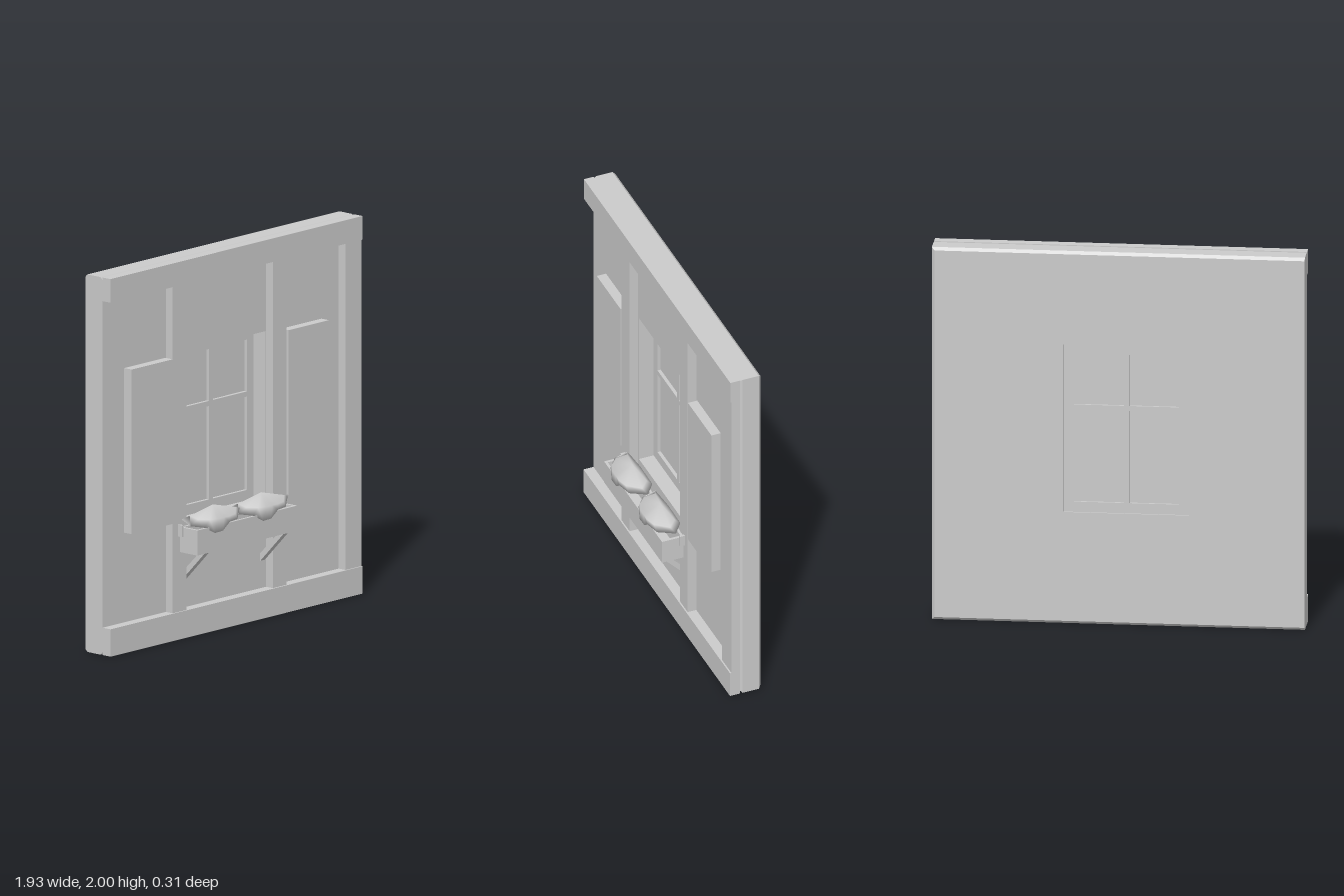
import * as THREE from 'three';

const LEFT = -0.97, RIGHT = 0.965;
const WALL_FRONT = -0.034, WALL_BACK = -0.155;
const WINDOW = { x0: -0.37, x1: 0.28, y0: 0.6, y1: 1.5 };

const grey = new THREE.MeshStandardMaterial({ color: 0xcccccc });
const greyDouble = new THREE.MeshStandardMaterial({ color: 0xcccccc, side: THREE.DoubleSide });

function rect(Type, x0, x1, y0, y1) {
  return new Type([[x0, y0], [x1, y0], [x1, y1], [x0, y1]].map(([x, y]) => new THREE.Vector2(x, y)));
}

export function createModel() {
  const model = new THREE.Group();
  model.name = 'windowWall';

  const add = (name, geometry, parent = model, material = grey) => {
    const mesh = new THREE.Mesh(geometry, material);
    mesh.name = name;
    parent.add(mesh);
    return mesh;
  };
  // Box given by its limits on each axis
  const block = (name, x0, x1, y0, y1, z0, z1, parent) => {
    const g = new THREE.BoxGeometry(x1 - x0, y1 - y0, z1 - z0);
    g.translate((x0 + x1) / 2, (y0 + y1) / 2, (z0 + z1) / 2);
    return add(name, g, parent);
  };

  // Wall slab: chamfered at the top, bottom and right, square at the left end and window
  const bevel = 0.015;
  const wallShape = rect(THREE.Shape, LEFT, RIGHT, 0, 2);
  wallShape.holes.push(rect(THREE.Path, WINDOW.x0, WINDOW.x1, WINDOW.y0, WINDOW.y1));
  const wall = new THREE.ExtrudeGeometry(wallShape, {
    depth: WALL_FRONT - WALL_BACK - 2 * bevel,
    bevelThickness: bevel, bevelSize: bevel, bevelOffset: -bevel, bevelSegments: 1,
  });
  wall.translate(0, 0, WALL_BACK + bevel);
  const p = wall.attributes.position;
  const snap = (v, targets) => targets.find((t) => Math.abs(v - t) < 0.03) ?? v;
  for (let i = 0; i < p.count; i++) {
    p.setX(i, snap(p.getX(i), [LEFT, WINDOW.x0, WINDOW.x1]));
    p.setY(i, snap(p.getY(i), [WINDOW.y0, WINDOW.y1]));
  }
  wall.computeVertexNormals();
  add('wall', wall);

  // Timber beams and posts
  const timber = new THREE.Group();
  timber.name = 'timberFrame';
  model.add(timber);
  block('topBeam', LEFT, RIGHT, 1.875, 2, WALL_FRONT, 0.02, timber);
  block('bottomBeam', LEFT, RIGHT, 0, 0.145, WALL_FRONT, 0.022, timber);
  for (const [x0, x1] of [[-0.485, -0.38], [0.285, 0.387], [0.842, RIGHT]]) {
    block('post', x0, x1, 0.145, 1.875, WALL_FRONT, 0.014, timber);
  }

  // Shutters
  block('rightShutter', -0.805, -0.49, 0.62, 1.492, WALL_FRONT, 0.018);
  block('leftShutter', 0.4, 0.71, 0.62, 1.492, WALL_FRONT, 0.018);

  // Window frame with four panes, set deep in the opening
  const frameShape = rect(THREE.Shape, WINDOW.x0, WINDOW.x1, WINDOW.y0, WINDOW.y1);
  for (const [x0, x1] of [[-0.318, -0.062], [-0.032, 0.228]]) {
    for (const [y0, y1] of [[0.655, 1.15], [1.177, 1.452]]) {
      frameShape.holes.push(rect(THREE.Path, x0, x1, y0, y1));
    }
  }
  const frame = new THREE.ExtrudeGeometry(frameShape, { depth: 0.03, bevelEnabled: false });
  frame.translate(0, 0, -0.146);
  add('windowFrame', frame);
  const glass = new THREE.PlaneGeometry(0.6, 0.85);
  glass.translate(-0.045, 1.05, -0.134);
  add('glass', glass, model, greyDouble);

  // Flower box: floor, four sides, end cleats and diagonal brackets
  const flowerBox = new THREE.Group();
  flowerBox.name = 'flowerBox';
  model.add(flowerBox);
  block('boxFloor', -0.42, 0.325, 0.46, 0.48, 0.012, 0.13, flowerBox);
  block('boxFront', -0.42, 0.325, 0.46, 0.593, 0.122, 0.136, flowerBox);
  block('boxBack', -0.42, 0.325, 0.46, 0.593, 0.012, 0.026, flowerBox);
  for (const x of [-0.43, 0.32]) block('boxEnd', x, x + 0.015, 0.46, 0.593, 0.012, 0.136, flowerBox);
  for (const x of [-0.444, 0.335]) block('boxCleat', x, x + 0.014, 0.545, 0.607, 0.012, 0.04, flowerBox);
  const brace = new THREE.Shape(
    [[0.13, 0.46], [0.095, 0.46], [-0.034, 0.331], [-0.034, 0.29]].map(([z, y]) => new THREE.Vector2(-z, y)),
  );
  for (const x of [-0.367, 0.24]) {
    const g = new THREE.ExtrudeGeometry(brace, { depth: 0.035, bevelEnabled: false });
    g.rotateY(Math.PI / 2); // shape x becomes -z, depth becomes +x
    g.translate(x, 0, 0);
    add('bracket', g, flowerBox);
  }

  // Foliage: a low smooth mound whose rim droops over the front of the box
  const rim = [
    [-0.19, 0.63, 0.012], [-0.195, 0.605, 0.08], [-0.14, 0.595, 0.128], [-0.08, 0.56, 0.146],
    [-0.02, 0.562, 0.146], [0.03, 0.6, 0.148], [0.11, 0.6, 0.13], [0.2, 0.632, 0.062],
    [0.14, 0.645, 0.012], [-0.02, 0.65, 0.012],
  ];
  function foliage(cx) {
    const n = rim.length;
    const apex = [-0.005, 0.686, 0.062];
    const pos = [apex];
    // Shoulder ring partway down from the crown, then the rim itself
    for (const [x, y, z] of rim) pos.push([x * 0.78, Math.max(y, 0.6) * 0.4 + 0.393, z * 0.9 + 0.02]);
    pos.push(...rim, [0, 0.57, 0.06]);
    const index = [];
    for (let i = 0; i < n; i++) {
      const j = (i + 1) % n;
      const a = 1 + i, b = 1 + j, c = a + n, d = b + n;
      index.push(0, a, b, a, c, d, a, d, b, 2 * n + 1, d, c);
    }
    const g = new THREE.BufferGeometry();
    g.setAttribute('position', new THREE.Float32BufferAttribute(pos.flat(), 3));
    g.setIndex(index);
    g.computeVertexNormals();
    g.translate(cx, 0, 0);
    add('foliage', g, flowerBox, greyDouble);
  }
  foliage(-0.225);
  foliage(0.145);

  return model;
}
